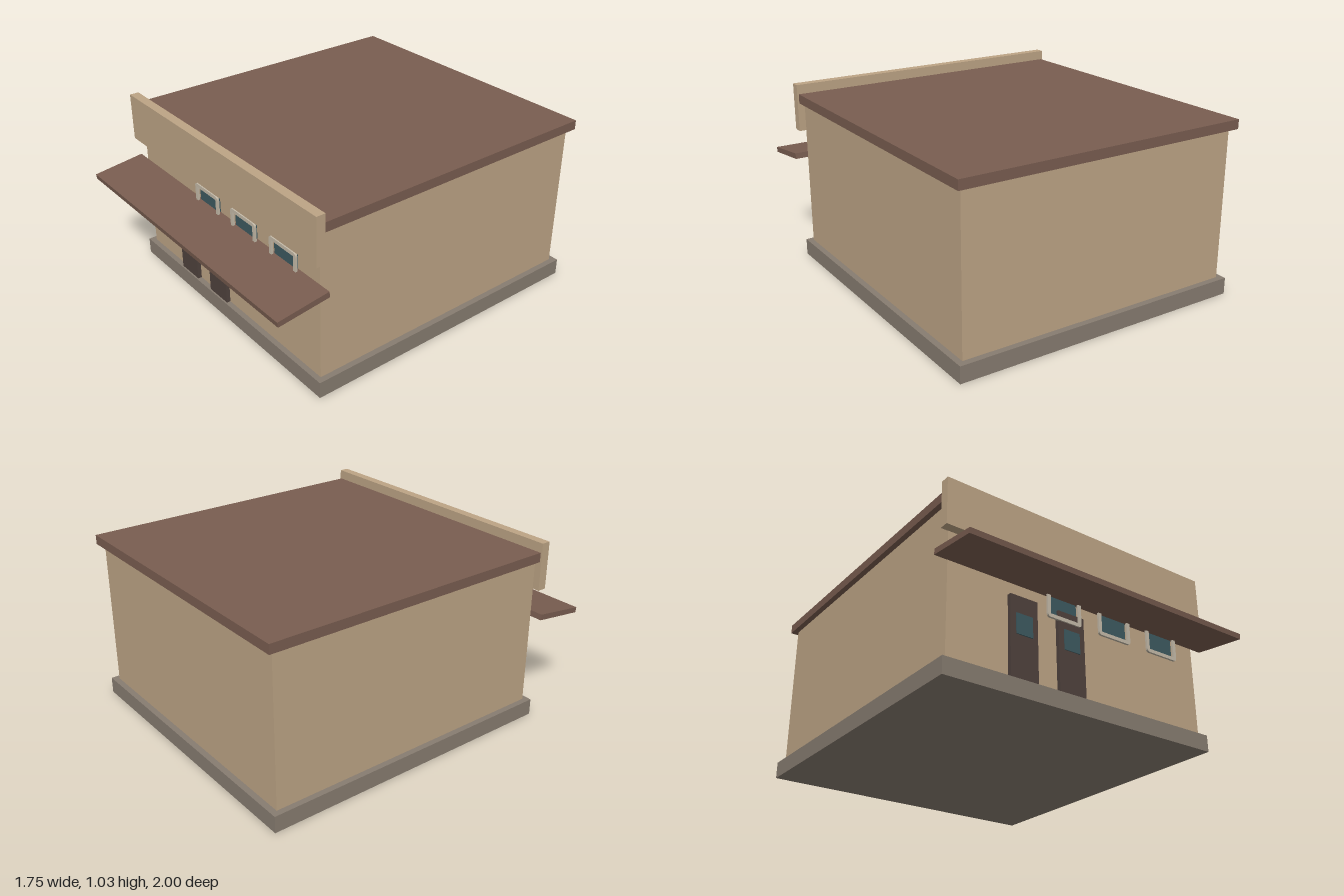
import * as THREE from 'three';

const paint = (color) => new THREE.MeshStandardMaterial({ color });

export function createModel() {
  const model = new THREE.Group();
  const tan = paint(0xbda485), brown = paint(0x795d50), stone = paint(0x877c70);
  const doorPaint = paint(0x4f423d), glass = paint(0x3d5960), trim = paint(0xc4baa8);

  const add = (name, geometry, material, parent = model) => {
    const mesh = new THREE.Mesh(geometry, material);
    mesh.name = name;
    parent.add(mesh);
    return mesh;
  };
  // Box given by its lower and upper limits on each axis
  const box = (name, material, [x0, x1], [y0, y1], [z0, z1], parent) =>
    add(name, new THREE.BoxGeometry(x1 - x0, y1 - y0, z1 - z0), material, parent)
      .position.set((x0 + x1) / 2, (y0 + y1) / 2, (z0 + z1) / 2);

  // Main volumes
  box('foundation', stone, [-0.835, 0.835], [0, 0.092], [-1, 0.737]);
  box('walls', tan, [-0.802, 0.802], [0.092, 0.926], [-0.966, 0.706]);
  box('roof', brown, [-0.833, 0.833], [0.926, 0.978], [-1, 0.706]);
  box('parapet', tan, [-0.842, 0.842], [0.766, 1.031], [0.704, 0.755]);

  // Sloping awning: side profile in (z, y), extruded across the front
  const profile = new THREE.Shape([
    new THREE.Vector2(0.705, 0.606), new THREE.Vector2(0.996, 0.571),
    new THREE.Vector2(1, 0.6), new THREE.Vector2(0.709, 0.638),
  ]);
  const awning = new THREE.ExtrudeGeometry(profile, { depth: 1.75, bevelEnabled: false });
  awning.translate(0, 0, -0.875).rotateY(-Math.PI / 2);
  add('awning', awning, brown);

  // Doors with a small pane
  for (const x of [-0.372, -0.078]) {
    const door = new THREE.Group();
    door.name = 'door';
    door.position.x = x;
    model.add(door);
    box('doorLeaf', doorPaint, [-0.082, 0.082], [0.092, 0.535], [0.7, 0.728], door);
    box('doorPane', glass, [-0.049, 0.049], [0.326, 0.438], [0.72, 0.733], door);
  }

  // Rounded window surround with a rectangular opening
  const w = 0.107, h = 0.129, r = 0.018;
  const outline = new THREE.Shape();
  outline.moveTo(-w + r, -h);
  outline.lineTo(w - r, -h).quadraticCurveTo(w, -h, w, -h + r);
  outline.lineTo(w, h - r).quadraticCurveTo(w, h, w - r, h);
  outline.lineTo(-w + r, h).quadraticCurveTo(-w, h, -w, h - r);
  outline.lineTo(-w, -h + r).quadraticCurveTo(-w, -h, -w + r, -h);
  const hole = new THREE.Path();
  hole.moveTo(-0.088, -0.109);
  hole.lineTo(-0.088, 0.109).lineTo(0.088, 0.109).lineTo(0.088, -0.109).closePath();
  outline.holes.push(hole);
  const surround = new THREE.ExtrudeGeometry(outline, { depth: 0.012, bevelEnabled: false, curveSegments: 4 });

  for (const x of [-0.122, 0.211, 0.546]) {
    const win = new THREE.Group();
    win.name = 'window';
    win.position.set(x, 0.607, 0);
    model.add(win);
    add('windowFrame', surround, trim, win).position.z = 0.723;
    box('windowPane', glass, [-0.088, 0.088], [-0.109, 0.109], [0.7, 0.717], win);
  }
  return model;
}
